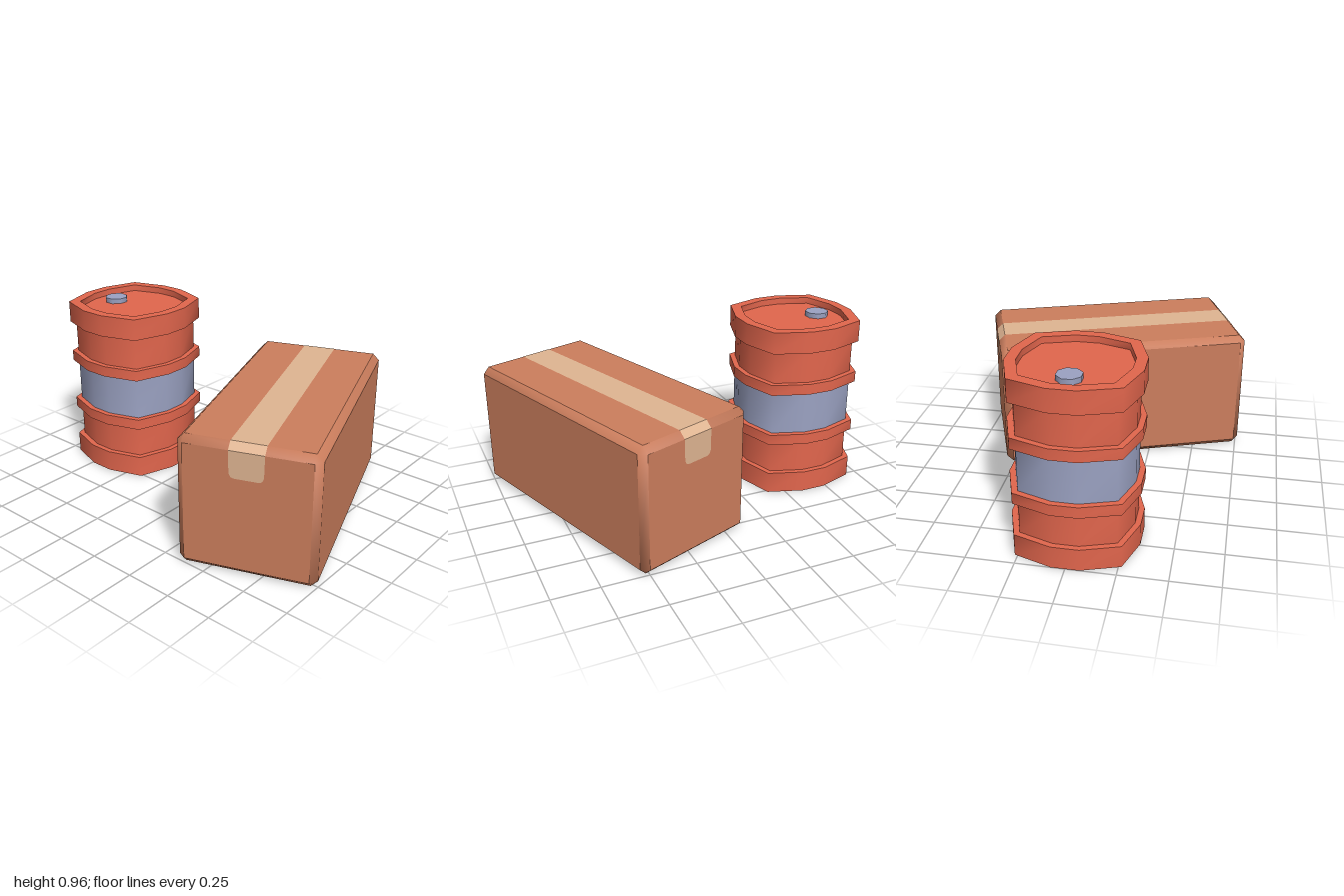
import * as THREE from 'three';
import { mergeGeometries, mergeVertices } from 'three/addons/utils/BufferGeometryUtils.js';
import { ConvexGeometry } from 'three/addons/geometries/ConvexGeometry.js';

const material = (name, color) => {
  const m = new THREE.MeshStandardMaterial({ color });
  m.name = name;
  return m;
};

function addMesh(parent, name, geometry, mat) {
  const mesh = new THREE.Mesh(geometry, mat);
  mesh.name = name;
  parent.add(mesh);
  return mesh;
}

function gridGeometry(positions, index) {
  const g = new THREE.BufferGeometry();
  g.setAttribute('position', new THREE.Float32BufferAttribute(positions, 3));
  if (index) g.setIndex(index);
  g.computeVertexNormals();
  return g;
}

// Twelve-sided drum outline: each quarter turn has points at -12, 12 and 45 degrees
const outline = [];
for (let q = 0; q < 4; q++) {
  for (const [deg, r] of [[-12, 0.337], [12, 0.337], [45, 0.375]]) {
    const a = THREE.MathUtils.degToRad(deg + q * 90);
    outline.push([r * Math.sin(a), r * Math.cos(a)]);
  }
}

// One band of the drum between two [scale, height] rings, smooth around
function band([s0, y0], [s1, y1]) {
  const n = outline.length, positions = [], index = [];
  for (const [s, y] of [[s0, y0], [s1, y1]])
    for (const [x, z] of outline) positions.push(x * s, y, z * s);
  for (let i = 0; i < n; i++) {
    const j = (i + 1) % n;
    index.push(i, j, n + j, i, n + j, n + i);
  }
  return gridGeometry(positions, index);
}

// Bands joined with sharp edges between them
function drumShell(profile) {
  return mergeGeometries(profile.slice(1).map((p, i) => band(profile[i], p)));
}

// Box with chamfered edges: flat panels, and smooth bevels that run into the underside
function chamferedBox(w, h, l, c) {
  const points = [];
  for (const x of [-1, 1]) for (const y of [-1, 1]) for (const z of [-1, 1])
    for (const [a, b, d] of [[0, c, c], [c, 0, c], [c, c, 0]])
      points.push(new THREE.Vector3(x * (w - a), y * (h - b), z * (l - d)));
  const { position, normal } = new ConvexGeometry(points).attributes;
  const panels = [], bevels = [];
  for (let i = 0; i < position.count; i += 3) {
    const isPanel = Math.max(Math.abs(normal.getX(i)), normal.getY(i), Math.abs(normal.getZ(i))) > 0.99;
    (isPanel ? panels : bevels).push(...position.array.slice(i * 3, i * 3 + 9));
  }
  const smooth = gridGeometry(bevels);
  smooth.deleteAttribute('normal');
  const welded = mergeVertices(smooth);
  welded.computeVertexNormals();
  return mergeGeometries([gridGeometry(panels), welded.toNonIndexed()]);
}

// Ribbon along rows of [z, y, half width], flat shaded
function ribbon(rows) {
  const positions = [], index = [];
  rows.forEach(([z, y, w], i) => {
    positions.push(-w, y, z, w, y, z);
    const k = i * 2;
    if (i) index.push(k - 2, k - 1, k + 1, k - 2, k + 1, k);
  });
  const g = gridGeometry(positions, index).toNonIndexed();
  g.computeVertexNormals();
  return g;
}

export function createModel() {
  const model = new THREE.Group();
  model.name = 'barrelAndCrate';
  const red = material('barrel red', 0xe2664d);
  const grey = material('blue grey', 0x9ba2c2);
  const cardboard = material('cardboard', 0xcc7e5d);
  const tapeColor = material('tape', 0xe0b592);
  tapeColor.side = THREE.DoubleSide;

  // Barrel
  const barrel = new THREE.Group();
  barrel.name = 'barrel';
  barrel.position.x = -0.67;
  model.add(barrel);
  const b = 0.91, lip = 0.83;
  addMesh(barrel, 'lowerBarrel', drumShell([
    [0, 0], [1, 0], [1, 0.12], [b, 0.12], [b, 0.3], [1, 0.3], [1, 0.36], [b, 0.36],
  ]), red);
  addMesh(barrel, 'middleBand', drumShell([[b, 0.36], [b, 0.6]]), grey);
  addMesh(barrel, 'upperBarrel', drumShell([
    [b, 0.6], [1, 0.6], [1, 0.66], [b, 0.66], [b, 0.84], [1, 0.84], [1, 0.96],
    [lip, 0.96], [lip, 0.925], [0, 0.925],
  ]), red);
  const plug = addMesh(barrel, 'plug',
    new THREE.CylinderGeometry(0.065, 0.065, 0.03, 8).rotateY(Math.PI / 8), grey);
  plug.position.set(-0.15, 0.938, 0);

  // Taped cardboard box, turned on the floor
  const box = new THREE.Group();
  box.name = 'cardboardBox';
  box.position.set(0.445, 0.35, 0);
  box.rotation.y = THREE.MathUtils.degToRad(20);
  model.add(box);
  const w = 0.35, h = 0.35, l = 0.696, c = 0.035;
  addMesh(box, 'carton', chamferedBox(w, h, l, c), cardboard);

  // Tape over the top and down both ends, with rounded tabs
  const e = 0.0012;
  const half = [
    [l + e, 0.175, 0.062], [l + e, 0.181, 0.076], [l + e, 0.2, 0.085],
    [l + e, h - c + e / 2, 0.088], [l - c + e / 2, h + e, 0.088],
  ];
  const mirrored = half.map(([z, y, r]) => [-z, y, r]).reverse();
  addMesh(box, 'tape', ribbon([...half, ...mirrored]), tapeColor);

  return model;
}
